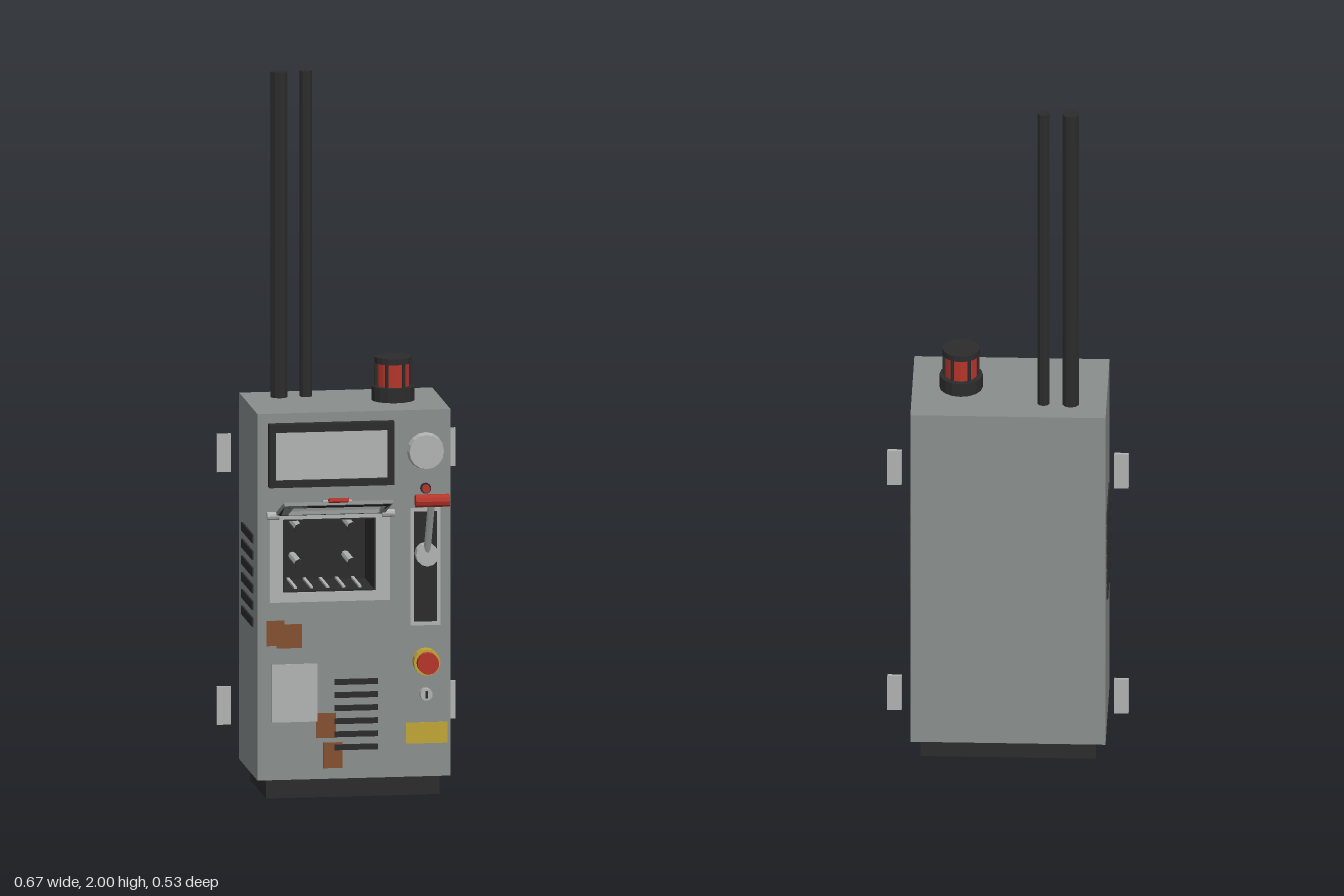
import * as THREE from 'three';

const mat = (name, color, flat = false) => {
  const m = new THREE.MeshStandardMaterial({ color, flatShading: flat });
  m.name = name;
  return m;
};

export function createModel() {
  const root = new THREE.Group();
  root.name = 'controlCabinet';
  const grey = mat('bodyGrey', 0x8a8f8e, true);
  const light = mat('lightGrey', 0xb0b3b2, true);
  const dark = mat('charcoal', 0x2c2c2c, true);
  const red = mat('signalRed', 0xb5352b, true);
  const yellow = mat('warningYellow', 0xc0a535, true);
  const rust = mat('rustBrown', 0x84502f, true);

  const add = (name, geo, m, x, y, z, parent = root) => {
    const mesh = new THREE.Mesh(geo, m);
    mesh.name = name;
    mesh.position.set(x, y, z);
    parent.add(mesh);
    return mesh;
  };
  // Box given by its limits on each axis
  const box = (name, m, x0, x1, y0, y1, z0, z1, parent = root) =>
    add(name, new THREE.BoxGeometry(x1 - x0, y1 - y0, z1 - z0), m,
      (x0 + x1) / 2, (y0 + y1) / 2, (z0 + z1) / 2, parent);
  // Upright cylinder, and a knob standing on the front panel
  const post = (name, m, r, y0, y1, x, z, n = 12) =>
    add(name, new THREE.CylinderGeometry(r, r, y1 - y0, n), m, x, (y0 + y1) / 2, z);
  const knob = (name, m, r, z0, z1, x, y, n = 16, rTop = r) =>
    add(name, new THREE.CylinderGeometry(rTop, r, z1 - z0, n).rotateX(Math.PI / 2), m, x, y, (z0 + z1) / 2);
  // Rectangular plate with a rectangular hole, facing +z
  const frame = (name, m, [x0, x1, y0, y1], [a0, a1, b0, b1], z0, z1, parent = root) => {
    const s = new THREE.Shape([[x0, y0], [x1, y0], [x1, y1], [x0, y1]].map(p => new THREE.Vector2(...p)));
    s.holes.push(new THREE.Path([[a0, b0], [a0, b1], [a1, b1], [a1, b0]].map(p => new THREE.Vector2(...p))));
    return add(name, new THREE.ExtrudeGeometry(s, { depth: z1 - z0, bevelEnabled: false }), m, 0, 0, z0, parent);
  };

  // Cabinet with an open chamber in the front
  const hole = [-0.2, 0.06, 0.582, 0.788];
  box('plinth', dark, -0.243, 0.243, 0, 0.055, -0.246, 0.053);
  box('cabinetRear', grey, -0.27, 0.27, 0.055, 1.085, -0.265, -0.1);
  frame('cabinetFront', grey, [-0.27, 0.27, 0.055, 1.085], hole, -0.1, 0.075);

  // Chamber lining and contents
  const [hx0, hx1, hy0, hy1] = hole;
  box('chamberBack', dark, hx0, hx1, hy0, hy1, -0.1, -0.09);
  box('chamberFloor', dark, hx0, hx1, hy0, hy0 + 0.005, -0.1, 0.078);
  box('chamberCeiling', dark, hx0, hx1, hy1 - 0.005, hy1, -0.1, 0.078);
  box('chamberWall', dark, hx0, hx0 + 0.005, hy0, hy1, -0.1, 0.078);
  box('chamberWall', dark, hx1 - 0.005, hx1, hy0, hy1, -0.1, 0.078);
  for (const x of [-0.148, 0.0]) for (const y of [0.655, 0.755]) {
    knob('chamberRod', light, 0.011, -0.09, 0.05, x, y, 8);
    knob('chamberRodCap', dark, 0.015, 0.05, 0.06, x, y, 8);
  }
  for (const x of [-0.16, -0.115, -0.07, -0.025, 0.02])
    box('floorRail', light, x - 0.004, x + 0.004, hy0 + 0.004, hy0 + 0.011, -0.09, 0.055);
  frame('chamberBezel', light, [-0.237, 0.1, 0.555, 0.8], hole, 0.075, 0.085);

  // Raised chamber door
  const door = new THREE.Group();
  door.name = 'chamberDoor';
  door.position.set(0, 0.8, 0.09);
  door.rotation.x = -0.34;
  root.add(door);
  const panel = frame('doorFrame', grey, [-0.22, 0.084, -0.164, 0], [-0.188, 0.068, -0.122, -0.01], 0, 0.01, door);
  panel.rotation.x = -Math.PI / 2;
  const seal = frame('doorSeal', dark, [-0.216, 0.08, -0.16, -0.004], [-0.196, 0.072, -0.126, -0.008], -0.005, 0, door);
  seal.rotation.x = -Math.PI / 2;
  box('doorPlate', light, -0.11, -0.028, 0.01, 0.016, 0.13, 0.153, door);
  box('doorGrip', red, -0.096, -0.042, 0.006, 0.016, 0.16, 0.185, door);
  for (const x of [-0.228, 0.094])
    add('doorHinge', new THREE.CylinderGeometry(0.011, 0.011, 0.034, 10).rotateZ(Math.PI / 2), light, x, 0.8, 0.088);

  // Display
  frame('displayFrame', dark, [-0.24, 0.11, 0.88, 1.058], [-0.222, 0.092, 0.9, 1.035], 0.075, 0.1);
  box('displayScreen', light, -0.222, 0.092, 0.9, 1.035, 0.075, 0.09);

  // Gauge, indicator lamps, stop button and key switch
  knob('gauge', light, 0.052, 0.075, 0.1, 0.2, 0.97, 16, 0.048);
  for (const y of [0.865, 0.83]) {
    knob('lampRing', dark, 0.015, 0.075, 0.082, 0.2, y);
    knob('indicatorLamp', red, 0.011, 0.082, 0.092, 0.2, y);
  }
  knob('stopCollar', yellow, 0.037, 0.075, 0.108, 0.2, 0.38);
  knob('stopButton', red, 0.03, 0.108, 0.132, 0.2, 0.38);
  knob('keySwitch', light, 0.017, 0.075, 0.098, 0.2, 0.288);
  box('keySlot', dark, 0.197, 0.203, 0.278, 0.298, 0.097, 0.1);

  // Lever in its slot
  frame('leverSurround', light, [0.158, 0.242, 0.48, 0.81], [0.167, 0.231, 0.491, 0.8], 0.075, 0.079);
  box('leverSlot', dark, 0.167, 0.231, 0.491, 0.8, 0.075, 0.081);
  knob('leverPivot', light, 0.032, 0.079, 0.115, 0.2, 0.683, 12);
  const arm = new THREE.LineCurve3(new THREE.Vector3(0.2, 0.683, 0.1), new THREE.Vector3(0.2, 0.848, 0.19));
  add('leverArm', new THREE.TubeGeometry(arm, 1, 0.01, 8), light, 0, 0, 0);
  add('leverHandle', new THREE.CylinderGeometry(0.018, 0.018, 0.095, 10).rotateZ(Math.PI / 2), red, 0.202, 0.85, 0.19);

  // Vents on front and sides
  for (let i = 0; i < 6; i++) {
    const y = 0.143 + i * 0.0367, v = 0.487 + i * 0.047;
    box('frontVent', dark, -0.055, 0.067, y - 0.008, y + 0.008, 0.07, 0.079);
    for (const s of [-1, 1])
      add('sideVent', new THREE.BoxGeometry(0.01, 0.024, 0.202), dark, s * 0.27, v, -0.094);
  }

  // Labels and rust patches
  box('noticePlate', light, -0.23, -0.102, 0.217, 0.38, 0.073, 0.077);
  box('warningLabel', yellow, 0.146, 0.262, 0.148, 0.207, 0.073, 0.077);
  [[-0.245, -0.195, 0.432, 0.503], [-0.217, -0.146, 0.425, 0.492],
    [-0.106, -0.05, 0.17, 0.24], [-0.086, -0.032, 0.085, 0.157]].forEach(
    ([a, b, c, d], i) => box('rustPatch', rust, a, b, c, d, 0.073, 0.0765 + i % 2 * 0.001));

  // Mounting plates standing off the back corners
  for (const s of [-1, 1]) for (const y of [0.208, 0.918])
    add('mountingPlate', new THREE.BoxGeometry(0.04, 0.107, 0.01), light, s * 0.314, y, -0.26);

  // Antennas
  post('thickAntenna', dark, 0.024, 1.085, 2, -0.171, -0.183, 10);
  post('thinAntenna', dark, 0.017, 1.085, 2, -0.096, -0.183, 10);

  // Beacon with caged lens
  post('beaconBase', dark, 0.06, 1.085, 1.125, 0.135, -0.095, 16);
  post('beaconLens', red, 0.045, 1.125, 1.19, 0.135, -0.095, 16);
  post('beaconCap', dark, 0.052, 1.19, 1.207, 0.135, -0.095, 16);
  for (let i = 0; i < 6; i++) {
    const a = i * Math.PI / 3;
    post('beaconBar', dark, 0.005, 1.125, 1.19, 0.135 + 0.047 * Math.cos(a), -0.095 + 0.047 * Math.sin(a), 6);
  }
  return root;
}
